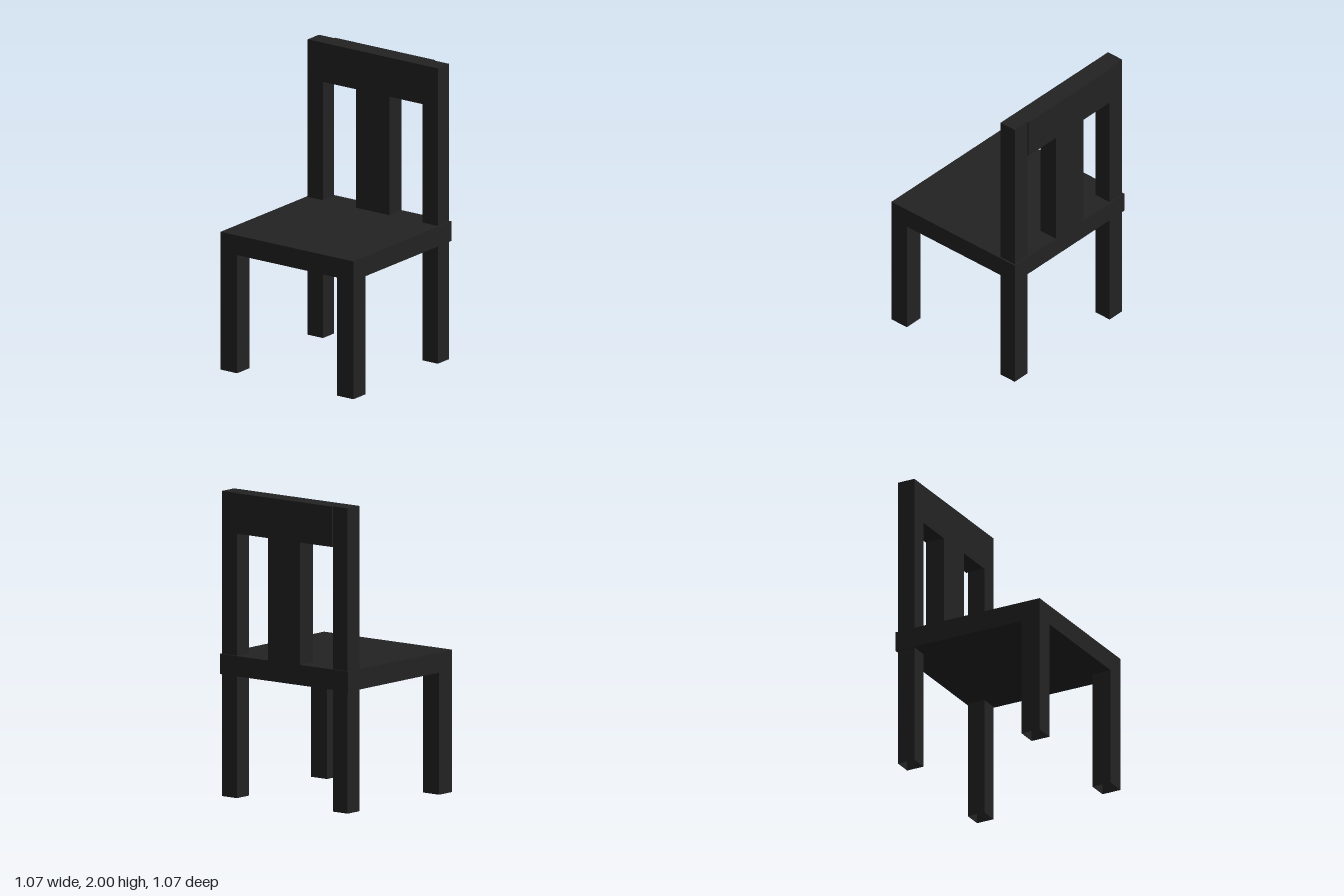
import * as THREE from 'three';

export function createModel() {
  const chair = new THREE.Group();
  chair.name = 'chair';
  const blackPaint = new THREE.MeshStandardMaterial({ color: 0x222222, side: THREE.DoubleSide });
  blackPaint.name = 'blackPaint';

  // Box given by its lower and upper corners, optionally without its underside
  function block(name, [x0, y0, z0], [x1, y1, z1], openBottom = false) {
    const geometry = new THREE.BoxGeometry(x1 - x0, y1 - y0, z1 - z0);
    if (openBottom) {
      const index = Array.from(geometry.index.array);
      index.splice(18, 6);
      geometry.setIndex(index);
      geometry.clearGroups();
    }
    geometry.translate((x0 + x1) / 2, (y0 + y1) / 2, (z0 + z1) / 2);
    const mesh = new THREE.Mesh(geometry, blackPaint);
    mesh.name = name;
    chair.add(mesh);
  }

  const half = 0.533, inner = 0.4, post = 0.522;
  const seatBottom = 0.8, seatTop = 0.933, railBottom = 1.735;

  // Seat
  block('seat', [-half, seatBottom, -half], [half, seatTop, half]);

  // Legs and back posts, mirrored left and right; the feet are hollow
  for (const [side, s] of [['left', 1], ['right', -1]]) {
    const span = (a, b) => (s > 0 ? [a, b] : [-b, -a]);
    const [f0, f1] = span(inner, half);
    const [b0, b1] = span(inner, post);
    block(side + 'FrontLeg', [f0, 0, inner], [f1, seatBottom, half], true);
    block(side + 'BackLeg', [b0, 0, -post], [b1, seatBottom, -inner], true);
    block(side + 'BackPost', [b0, seatTop, -post], [b1, 2, -inner]);
  }

  // Backrest: top rail and centre slat, slightly proud of the posts at the rear
  block('topRail', [-inner, railBottom, -half], [inner, 2, -inner]);
  block('backSlat', [-0.133, seatTop, -half], [0.133, railBottom, -inner]);

  return chair;
}
